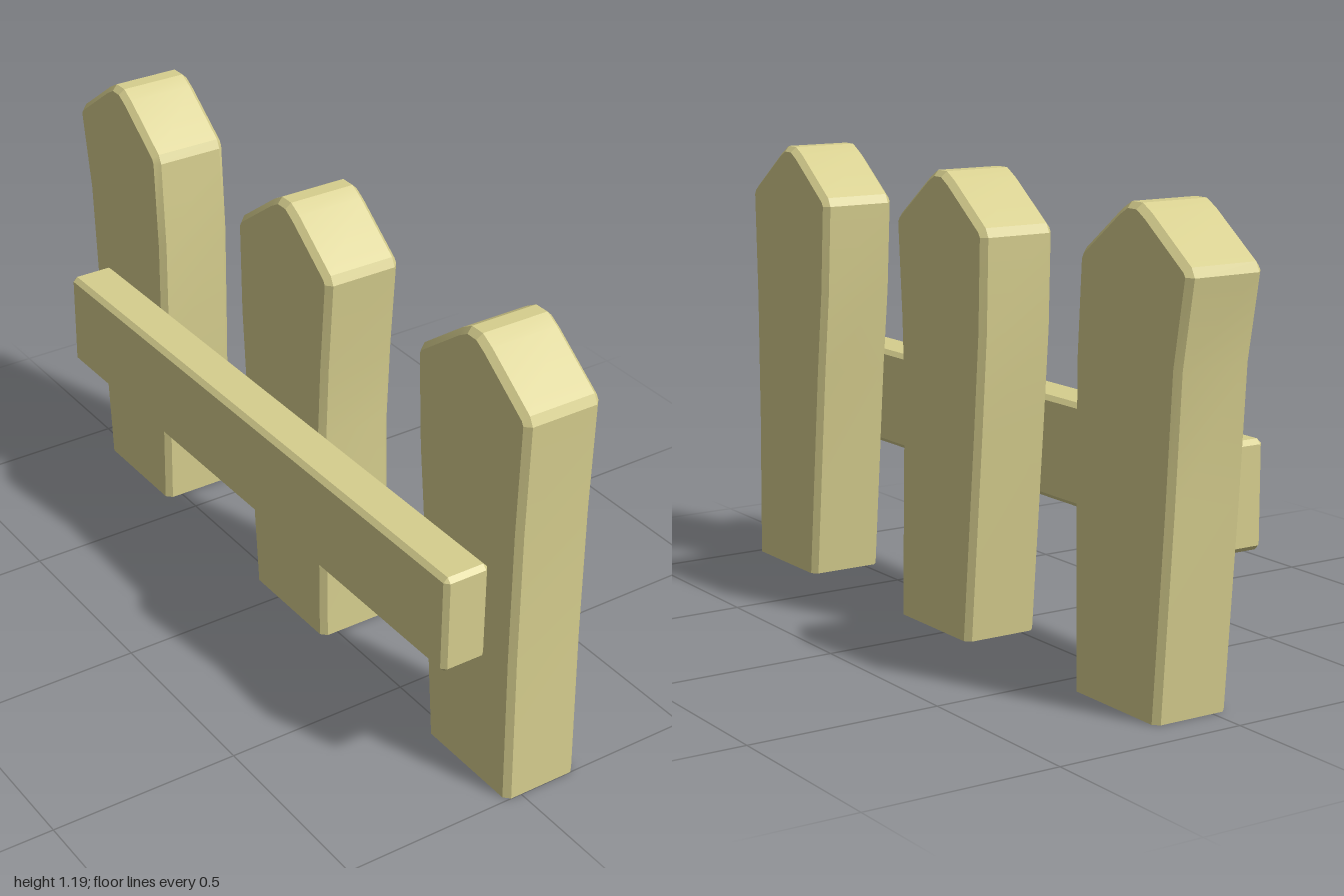
import * as THREE from 'three';
import { toCreasedNormals } from 'three/addons/utils/BufferGeometryUtils.js';
import { ConvexGeometry } from 'three/addons/geometries/ConvexGeometry.js';

const BEVEL = 0.015;

// Rounded point shared by all pickets, as [offset from the peak in z, y]
const TIP = [[0.055, 1.167], [0.02, 1.187], [-0.02, 1.187], [-0.055, 1.167]];

// Side edges run from the ground up to the shoulder, as [z, y]
const PICKETS = [
  {
    name: 'frontPicket', peak: 0.79,
    frontEdge: [[1, 0], [0.992, 0.4], [0.992, 0.75], [1, 1.04], [0.988, 1.063]],
    backEdge: [[0.68, 0], [0.625, 0.58], [0.6, 0.8], [0.585, 1.04], [0.597, 1.063]],
  },
  {
    name: 'middlePicket', peak: 0.02,
    frontEdge: [[0.215, 0], [0.2, 0.6], [0.208, 0.8], [0.225, 1.04], [0.213, 1.063]],
    backEdge: [[-0.11, 0], [-0.16, 0.55], [-0.18, 0.8], [-0.187, 1.04], [-0.175, 1.063]],
  },
  {
    name: 'backPicket', peak: -0.79,
    frontEdge: [[-0.575, 0], [-0.57, 0.45], [-0.57, 0.8], [-0.585, 1.04], [-0.597, 1.063]],
    backEdge: [[-0.9, 0], [-0.94, 0.5], [-0.962, 0.83], [-1, 1.04], [-0.988, 1.063]],
  },
];

// Outline moved inward along its normals, keeping the feet on the ground
function inset(points, d) {
  return points.map(([z, y], i) => {
    const a = points[Math.max(i - 1, 0)];
    const b = points[Math.min(i + 1, points.length - 1)];
    const dz = b[0] - a[0], dy = b[1] - a[1], len = Math.hypot(dz, dy);
    return [z - (d * dy) / len, y === 0 ? 0 : y + (d * dz) / len];
  });
}

// Bevelled board with an open foot, built from four outlines across x
function picketGeometry({ peak, frontEdge, backEdge }) {
  const outer = [...frontEdge, ...TIP.map(([o, y]) => [peak + o, y]), ...[...backEdge].reverse()];
  const inner = inset(outer, BEVEL);
  const x0 = -0.045, x1 = 0.165;
  const rings = [[x0, inner], [x0 + BEVEL, outer], [x1 - BEVEL, outer], [x1, inner]]
    .map(([x, pts]) => pts.map(([z, y]) => [x, y, z]));
  const n = outer.length, pos = [];
  const tri = (a, b, c) => pos.push(...a, ...b, ...c);

  // Edges and bevels
  for (let r = 0; r < 3; r++) {
    for (let i = 0; i < n - 1; i++) {
      const a = rings[r], b = rings[r + 1];
      tri(a[i], b[i], b[i + 1]);
      tri(a[i], b[i + 1], a[i + 1]);
    }
  }
  // Broad faces, fanned from a middle point
  const mid = (outer[0][0] + outer[n - 1][0]) / 2;
  for (let i = 0; i < n; i++) {
    const j = (i + 1) % n;
    tri([x0, 0.5, mid], rings[0][i], rings[0][j]);
    tri([x1, 0.5, mid], rings[3][j], rings[3][i]);
  }
  const g = new THREE.BufferGeometry();
  g.setAttribute('position', new THREE.Float32BufferAttribute(pos, 3));
  return toCreasedNormals(g, 0.35);
}

// Box with every edge cut at 45 degrees
function bevelledBox(w, h, d, c) {
  const pts = [];
  for (const sx of [-1, 1]) for (const sy of [-1, 1]) for (const sz of [-1, 1]) {
    for (let axis = 0; axis < 3; axis++) {
      const s = [w / 2 - c, h / 2 - c, d / 2 - c];
      s[axis] += c;
      pts.push(new THREE.Vector3(sx * s[0], sy * s[1], sz * s[2]));
    }
  }
  return new ConvexGeometry(pts);
}

export function createModel() {
  const model = new THREE.Group();
  model.name = 'fence';
  const wood = new THREE.MeshStandardMaterial({ color: 0xd6ce8e, side: THREE.DoubleSide });
  wood.name = 'paleWood';

  // Upright pickets
  for (const p of PICKETS) {
    const mesh = new THREE.Mesh(picketGeometry(p), wood);
    mesh.name = p.name;
    model.add(mesh);
  }

  // Cross rail behind the pickets
  const rail = new THREE.Mesh(bevelledBox(0.125, 0.265, 1.757, 0.012), wood);
  rail.name = 'rail';
  rail.position.set(-0.1065, 0.4915, 0.0165);
  model.add(rail);

  return model;
}
